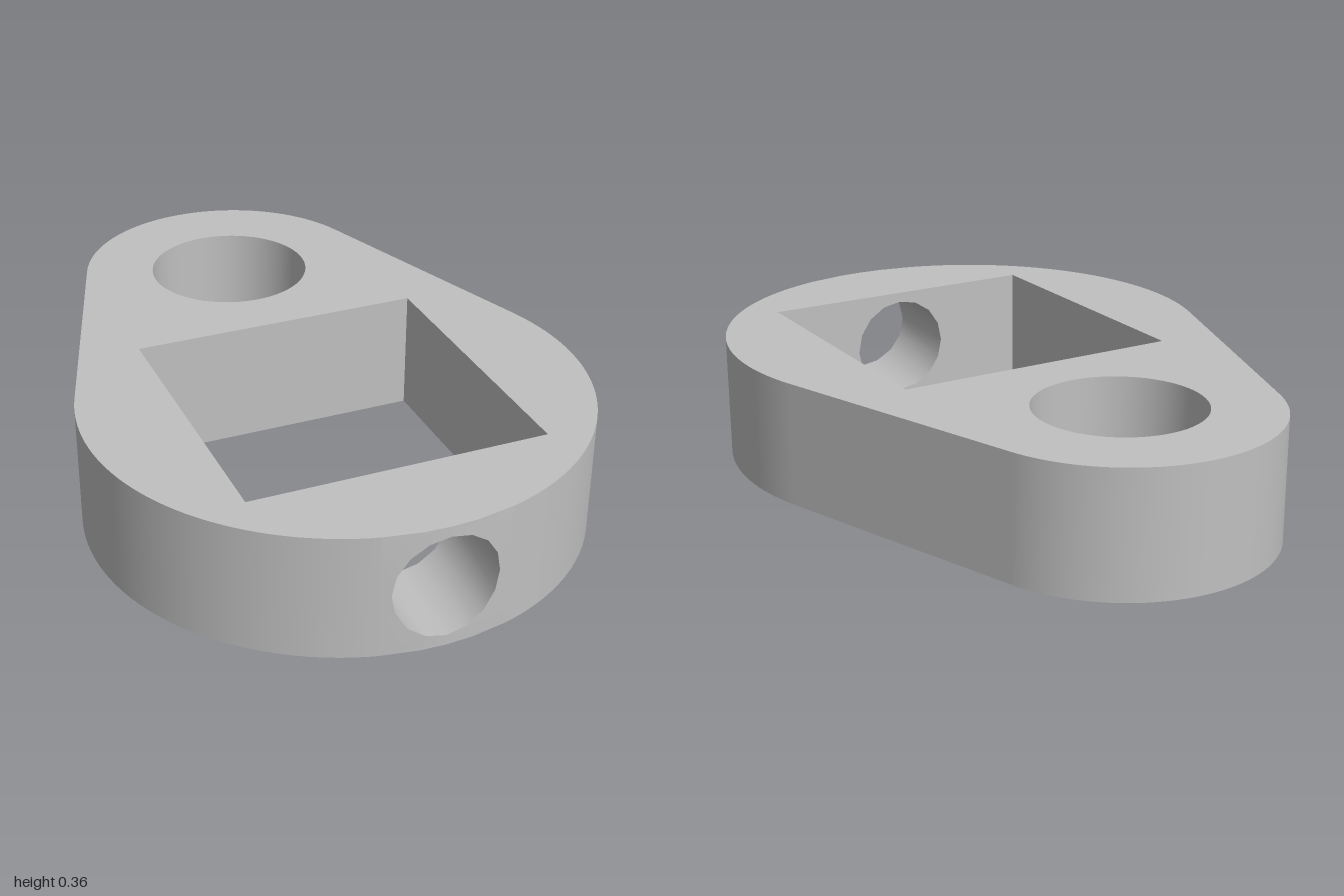
import * as THREE from 'three';

const H = 0.36;                       // plate thickness
const BIG = { z: 0.285, r: 0.715 };   // front lobe
const SMALL = { z: -0.555, r: 0.445 }; // back lobe
const BORE = 0.24;                    // round hole radius
const SQ = { h: 0.427, back: -0.15, front: 0.71 }; // square opening
const DRILL = 0.15, SIDES = 16;       // cross hole in the front wall
const HALF = H / 2;                   // half size of the panel around the cross hole

// Points [x, z] on an arc; angle 0 faces the front, growing towards +x
function arc({ z, r }, from, to, n) {
  return Array.from({ length: n + 1 }, (_, i) => {
    const a = from + (to - from) * i / n;
    return [r * Math.sin(a), z + r * Math.cos(a)];
  });
}

// Skin between successive rings of [x, y, z] points
function loft(rings, closed) {
  const n = rings[0].length, index = [];
  for (let j = 0; j < rings.length - 1; j++) {
    for (let i = 0; i < (closed ? n : n - 1); i++) {
      const k = (i + 1) % n, a = j * n + i, b = j * n + k;
      index.push(a, b, b + n, a, b + n, a + n);
    }
  }
  const g = new THREE.BufferGeometry();
  g.setAttribute('position', new THREE.Float32BufferAttribute(rings.flat(2), 3));
  g.setIndex(index);
  g.computeVertexNormals();
  return g;
}

// Upright wall over a plan path
const wall = (path, closed) => loft([0, H].map(y => path.map(([x, z]) => [x, y, z])), closed);

const frontZ = x => BIG.z + Math.sqrt(BIG.r ** 2 - x ** 2);

export function createModel() {
  const group = new THREE.Group();
  const metal = new THREE.MeshStandardMaterial({ color: 0xc0c0c0 });
  metal.name = 'plain grey';
  const add = (name, geometry) => {
    const mesh = new THREE.Mesh(geometry, metal);
    mesh.name = name;
    group.add(mesh);
  };

  // Outline: two arcs joined by tangents, open where the drilled panel sits
  const start = Math.asin(HALF / BIG.r), full = Math.PI * 2;
  const tangent = Math.PI / 2 + Math.asin((BIG.r - SMALL.r) / (BIG.z - SMALL.z));
  const outline = [
    ...arc(BIG, start, tangent, 40),
    ...arc(SMALL, tangent, full - tangent, 48),
    ...arc(BIG, full - tangent, full - start, 40),
  ];
  add('outerWall', wall(outline, false));

  // Top and bottom faces with both openings
  const t = HALF * Math.tan(Math.PI / 8);
  const plan = [...outline, ...[-t, 0, t].map(x => [x, frontZ(x)])];
  const bore = arc({ z: SMALL.z, r: BORE }, full, 0, 64).slice(0, -1);
  const square = [[-SQ.h, SQ.front], [-SQ.h, SQ.back], [SQ.h, SQ.back], [SQ.h, SQ.front]];
  const face = sign => {
    const points = path => path.map(([x, z]) => new THREE.Vector2(x, -sign * z));
    const shape = new THREE.Shape(points(plan));
    shape.holes.push(new THREE.Path(points(bore)), new THREE.Path(points(square)));
    return new THREE.ShapeGeometry(shape).rotateX(-sign * Math.PI / 2);
  };
  add('topFace', face(1).translate(0, H, 0));
  add('bottomFace', face(-1));

  // Walls of the openings
  add('roundHoleWall', wall(bore, true));
  for (let i = 0; i < 3; i++) add('squareHoleWall', wall(square.slice(i, i + 2), false));

  // Curved front panel, blending from a square edge to the cross hole
  const ring = (blend, zAt) => Array.from({ length: SIDES }, (_, i) => {
    const a = full * i / SIDES, c = Math.cos(a), s = Math.sin(a);
    const r = THREE.MathUtils.lerp(HALF / Math.max(Math.abs(c), Math.abs(s)), DRILL, blend);
    return [r * c, HALF + r * s, zAt(r * c)];
  });
  add('frontPanel', loft([0, 0.33, 0.67, 1].map(b => ring(b, frontZ)), true));

  // Cross hole through to the square opening
  add('crossHoleWall', loft([ring(1, frontZ), ring(1, () => SQ.front)], true));

  // Inner face of the front wall, pierced by the cross hole
  const inner = new THREE.Shape([[-SQ.h, 0], [SQ.h, 0], [SQ.h, H], [-SQ.h, H]]
    .map(p => new THREE.Vector2(...p)));
  inner.holes.push(new THREE.Path(ring(1, () => 0).map(([x, y]) => new THREE.Vector2(x, y))));
  add('innerFrontWall', new THREE.ShapeGeometry(inner).rotateY(Math.PI).translate(0, 0, SQ.front));

  return group;
}
